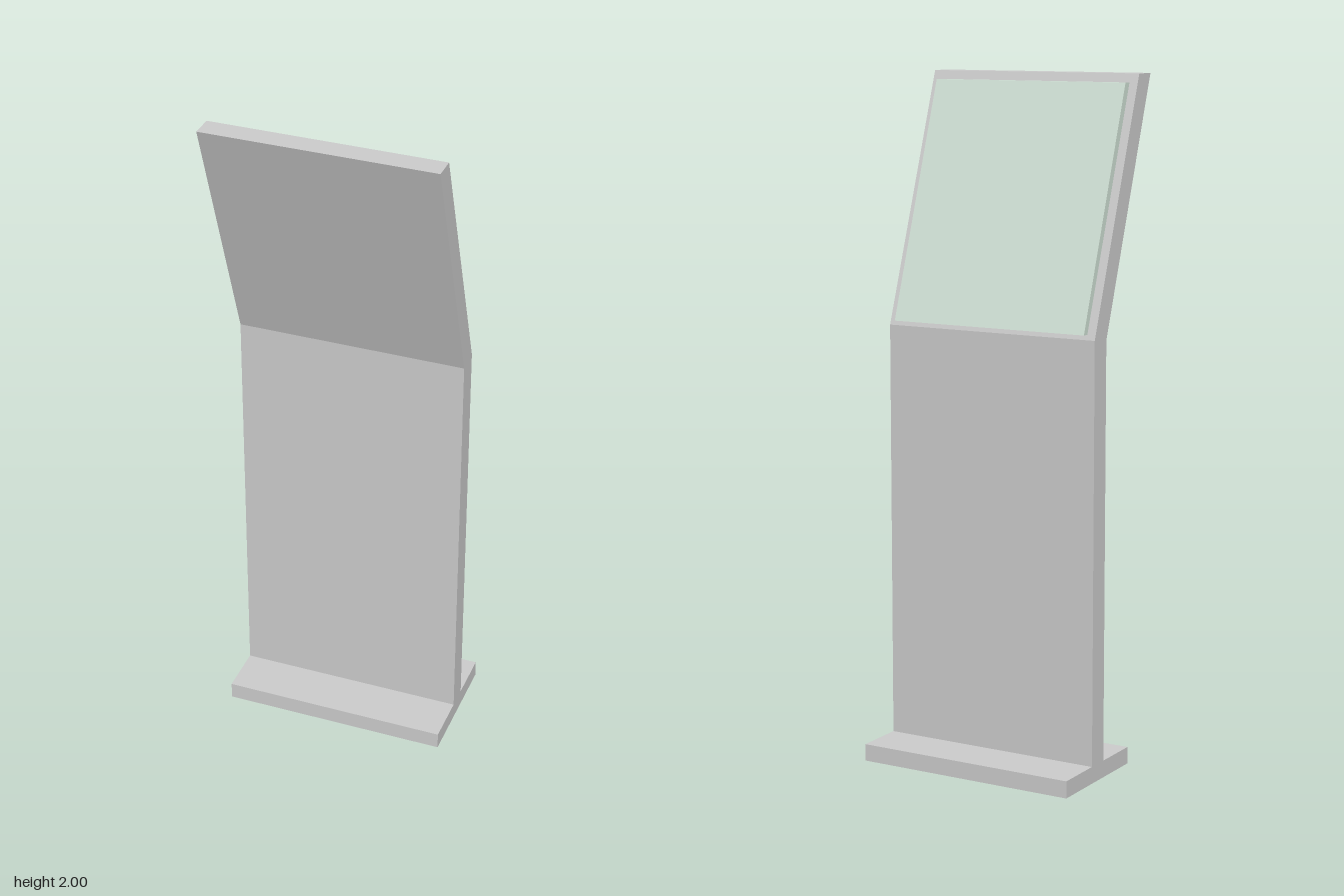
import * as THREE from 'three';

const grey = new THREE.MeshStandardMaterial({ color: 0xcccccc });
const glass = new THREE.MeshStandardMaterial({ color: 0xcfe0d4 });

// Extrudes a side profile of [z, y] points across the width, centred on x = 0
function slab(name, profile, width, material) {
  const shape = new THREE.Shape(profile.map(([z, y]) => new THREE.Vector2(z, y)));
  const geometry = new THREE.ExtrudeGeometry(shape, { depth: width, bevelEnabled: false });
  geometry.translate(0, 0, -width / 2);
  geometry.rotateY(-Math.PI / 2);
  const mesh = new THREE.Mesh(geometry, material);
  mesh.name = name;
  return mesh;
}

export function createModel() {
  const group = new THREE.Group();
  group.name = 'displayKiosk';
  const width = 0.675;

  // Flat foot plate
  group.add(slab('base', [[-0.235, 0], [0.132, 0], [0.132, 0.05], [-0.235, 0.05]], width, grey));

  // Upright that bends into the tilted head
  group.add(slab('bentPanel', [
    [-0.085, 0.05], [-0.017, 0.05], [-0.017, 1.268],
    [0.235, 2], [0.167, 2], [-0.085, 1.275],
  ], width, grey));

  // Thin screen lying on the tilted face
  group.add(slab('screen', [
    [-0.1, 1.29], [-0.08, 1.29], [0.158, 1.975], [0.134, 1.975],
  ], 0.623, glass));

  return group;
}
